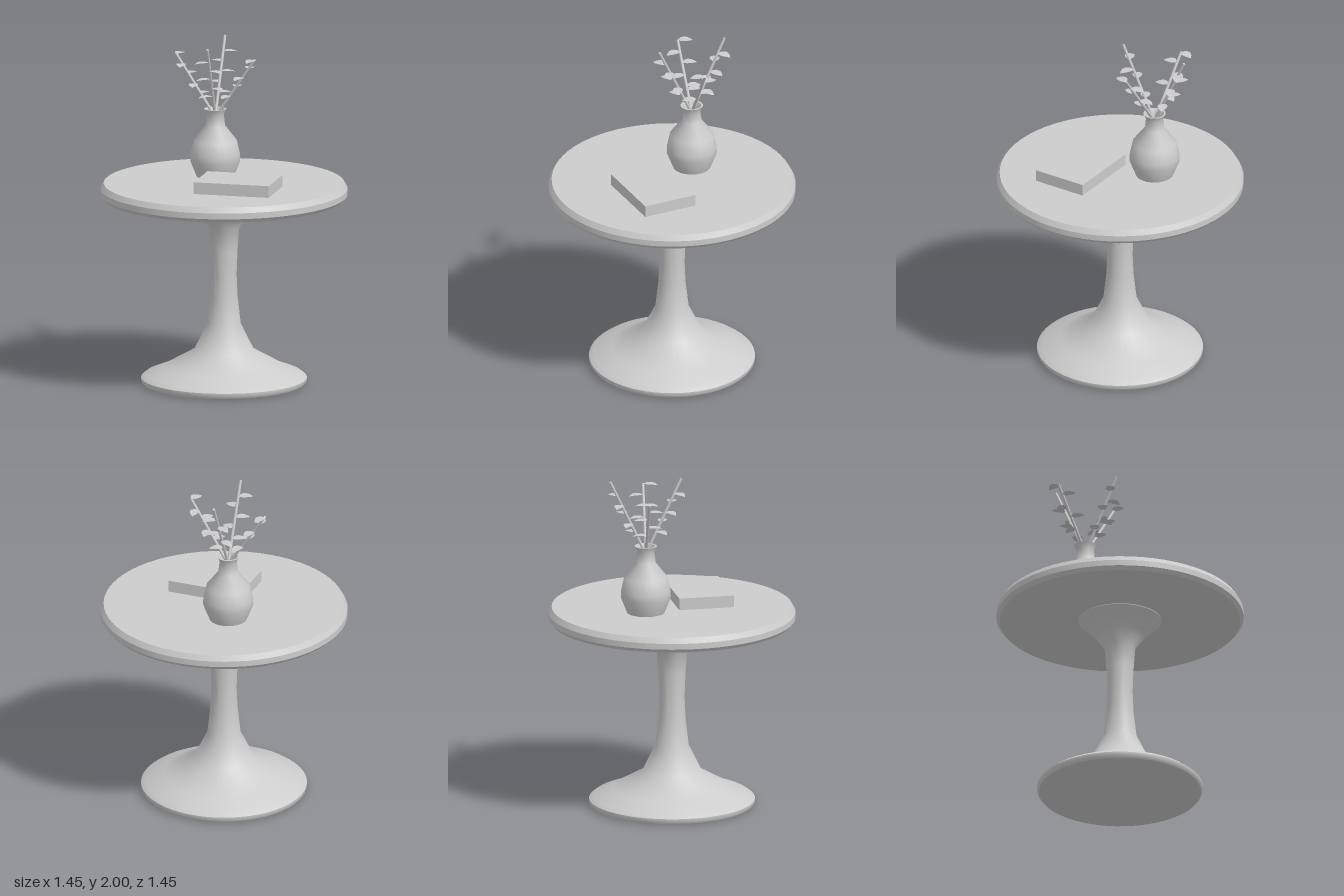
import * as THREE from 'three';
import { toCreasedNormals } from 'three/addons/utils/BufferGeometryUtils.js';

const plaster = new THREE.MeshStandardMaterial({ color: 0xcccccc });
plaster.name = 'plain grey';
const leafGrey = new THREE.MeshStandardMaterial({ color: 0xcccccc, side: THREE.DoubleSide });
leafGrey.name = 'leaf grey';

function add(parent, name, geometry, material = plaster) {
  const mesh = new THREE.Mesh(geometry, material);
  mesh.name = name;
  parent.add(mesh);
  return mesh;
}

// Turned part from [radius, height] pairs, bottom to top
function turned(profile, segments, crease) {
  const points = profile.map(([r, y]) => new THREE.Vector2(r, y));
  return toCreasedNormals(new THREE.LatheGeometry(points, segments), crease);
}

// Pointed leaf lying flat along +x, drooping to its tip and sides
function leafGeometry(length, width) {
  const shape = new THREE.Shape();
  const half = width / 2;
  shape.moveTo(0, 0);
  shape.bezierCurveTo(length * 0.2, half * 1.3, length * 0.65, half * 1.3, length, 0);
  shape.bezierCurveTo(length * 0.65, -half * 1.3, length * 0.2, -half * 1.3, 0, 0);
  const geometry = new THREE.ShapeGeometry(shape, 6).rotateX(-Math.PI / 2);
  const pos = geometry.attributes.position;
  for (let i = 0; i < pos.count; i++) {
    const t = pos.getX(i) / length;
    pos.setY(i, 0.02 * t * (1 - t) * 2 - 0.006 * t - 2 * pos.getZ(i) ** 2);
  }
  geometry.computeVertexNormals();
  return geometry;
}

export function createModel() {
  const model = new THREE.Group();
  model.name = 'pedestalTable';

  // Flared pedestal and round top
  add(model, 'pedestal', turned([
    [0, 0], [0.475, 0], [0.487, 0.015], [0.487, 0.035], [0.46, 0.056], [0.355, 0.098],
    [0.175, 0.2], [0.098, 0.357], [0.08, 0.52], [0.074, 0.65], [0.08, 0.8], [0.091, 0.935],
    [0.15, 1.01], [0.243, 1.105], [0.243, 1.112],
  ], 48, 0.75));
  add(model, 'tableTop', turned([
    [0, 1.108], [0.705, 1.108], [0.725, 1.13], [0.725, 1.165], [0.706, 1.197], [0, 1.197],
  ], 64, 0.5));

  // Book lying at an angle
  const book = add(model, 'book', new THREE.BoxGeometry(0.453, 0.07, 0.328));
  book.position.set(0.196, 1.232, 0.121);
  book.rotation.y = 0.404;

  // Vase with a hollow neck
  const vase = add(model, 'vase', turned([
    [0, 1.197], [0.11, 1.197], [0.147, 1.29], [0.146, 1.33], [0.128, 1.41], [0.058, 1.5],
    [0.05, 1.57], [0.066, 1.6], [0.055, 1.6], [0.038, 1.57], [0.038, 1.5], [0, 1.49],
  ], 24, 0.9));
  vase.position.set(-0.16, 0, -0.125);

  // Four stems leaning outward, each with five alternating leaves
  const start = new THREE.Vector3(-0.16, 1.55, -0.125);
  const leaf = leafGeometry(0.09, 0.06);
  const leafHeights = [1.685, 1.74, 1.8, 1.855, 1.91];
  const stems = [
    { tip: [-0.395, 1.912, -0.055], lean: -0.2 },
    { tip: [0.082, 1.912, -0.19], lean: -0.2 },
    { tip: [-0.238, 1.998, -0.322], lean: 0.5 },
    { tip: [-0.069, 1.998, 0.07], lean: 0.5 },
  ];
  for (const { tip, lean } of stems) {
    const sprig = new THREE.Group();
    sprig.name = 'sprig';
    const end = new THREE.Vector3(...tip);
    const axis = end.clone().sub(start);
    const stem = add(sprig, 'stem', new THREE.CylinderGeometry(0.008, 0.009, axis.length(), 8));
    stem.position.copy(start).lerp(end, 0.5);
    stem.quaternion.setFromUnitVectors(new THREE.Vector3(0, 1, 0), axis.clone().normalize());

    const heading = Math.atan2(-axis.z, axis.x);
    leafHeights.forEach((y, i) => {
      const side = i % 2 ? 1 : -1;
      const blade = add(sprig, 'leaf', leaf, leafGrey);
      blade.position.copy(start).lerp(end, (y - start.y) / axis.y);
      blade.rotation.y = heading + side * (Math.PI / 2 - lean);
    });
    model.add(sprig);
  }
  return model;
}
